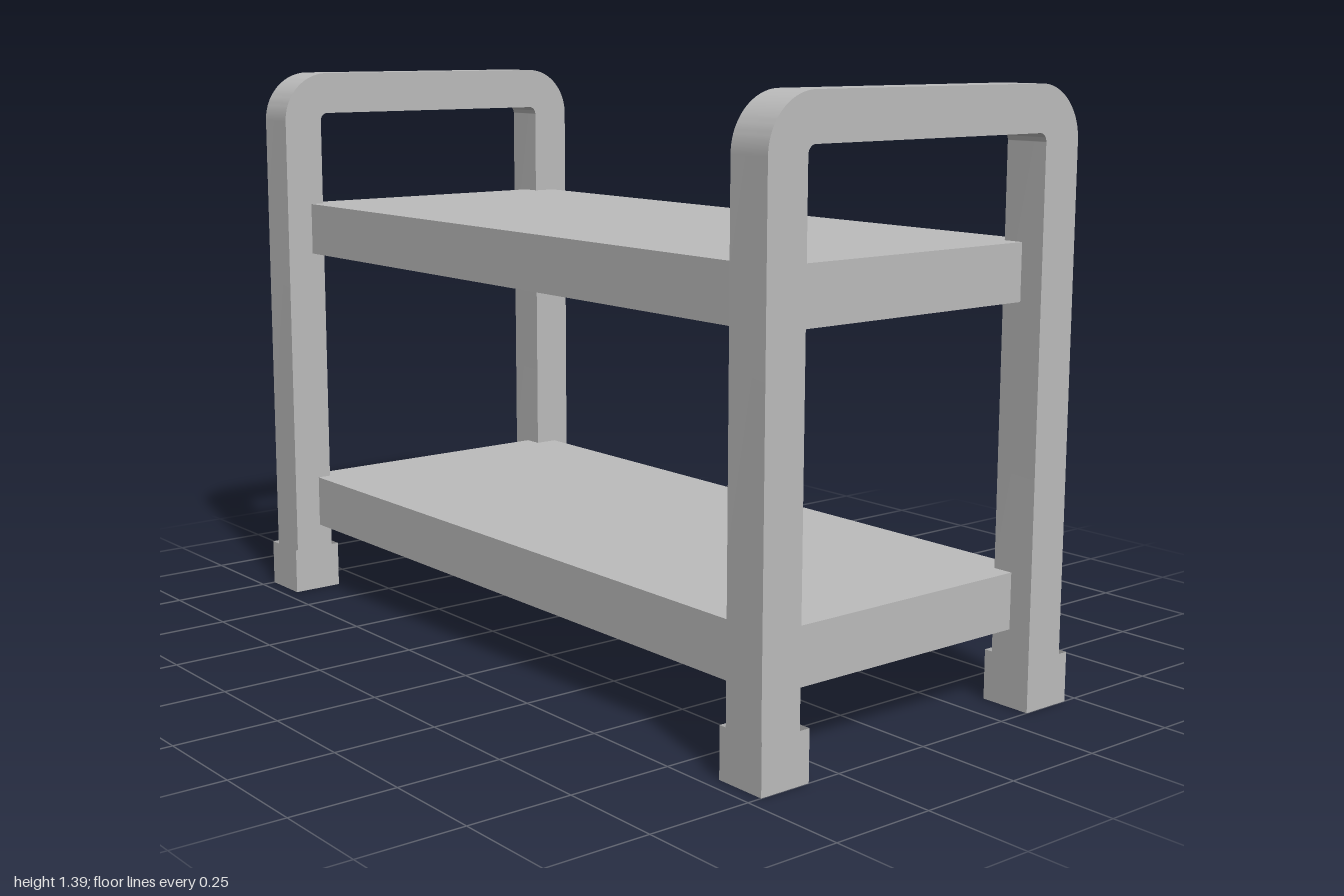
import * as THREE from 'three';
import { toCreasedNormals } from 'three/addons/utils/BufferGeometryUtils.js';

export function createModel() {
  const group = new THREE.Group();
  const grey = new THREE.MeshStandardMaterial({ color: 0xbcbcbc });
  grey.name = 'grey';
  const openGrey = new THREE.MeshStandardMaterial({ color: 0xbcbcbc, side: THREE.DoubleSide });
  openGrey.name = 'grey open sleeve';

  const add = (name, geometry, material, x, y, z) => {
    const mesh = new THREE.Mesh(geometry, material);
    mesh.name = name;
    mesh.position.set(x, y, z);
    group.add(mesh);
  };

  // Arched side frame: two legs joined by a handle with rounded corners
  const bottom = 0.1, top = 1.395, outer = 0.455, inner = 0.35, innerTop = 1.29;
  const R = 0.125, r = 0.02, width = 0.107;
  const arch = new THREE.Shape();
  arch.moveTo(-outer, bottom);
  arch.lineTo(-inner, bottom);
  arch.lineTo(-inner, innerTop - r);
  arch.absarc(-inner + r, innerTop - r, r, Math.PI, Math.PI / 2, true);
  arch.absarc(inner - r, innerTop - r, r, Math.PI / 2, 0, true);
  arch.lineTo(inner, bottom);
  arch.lineTo(outer, bottom);
  arch.lineTo(outer, top - R);
  arch.absarc(outer - R, top - R, R, 0, Math.PI / 2, false);
  arch.absarc(-outer + R, top - R, R, Math.PI / 2, Math.PI, false);
  arch.closePath();
  const frame = toCreasedNormals(
    new THREE.ExtrudeGeometry(arch, { depth: width, bevelEnabled: false, curveSegments: 12 })
      .translate(0, 0, -width / 2).rotateY(Math.PI / 2), 0.6);

  // Square sleeve foot, open at both ends
  const foot = new THREE.CylinderGeometry(Math.SQRT1_2, Math.SQRT1_2, 1, 4, 1, true)
    .rotateY(Math.PI / 4).scale(0.127, 0.117, 0.13).toNonIndexed();
  foot.computeVertexNormals();

  for (const side of [-1, 1]) {
    const name = side > 0 ? 'left' : 'right';
    add(name + 'Frame', frame, grey, side * 0.934, 0, 0);
    for (const end of [-1, 1]) {
      add(name + (end > 0 ? 'Front' : 'Back') + 'Foot', foot, openGrey, side * 0.9365, 0.0585, end * 0.4);
    }
  }

  // Two shelves set into the legs
  const shelf = new THREE.BoxGeometry(1.86, 0.132, 0.795);
  add('lowerShelf', shelf, grey, 0, 0.241, -0.0125);
  add('upperShelf', shelf, grey, 0, 0.985, -0.0125);

  return group;
}
